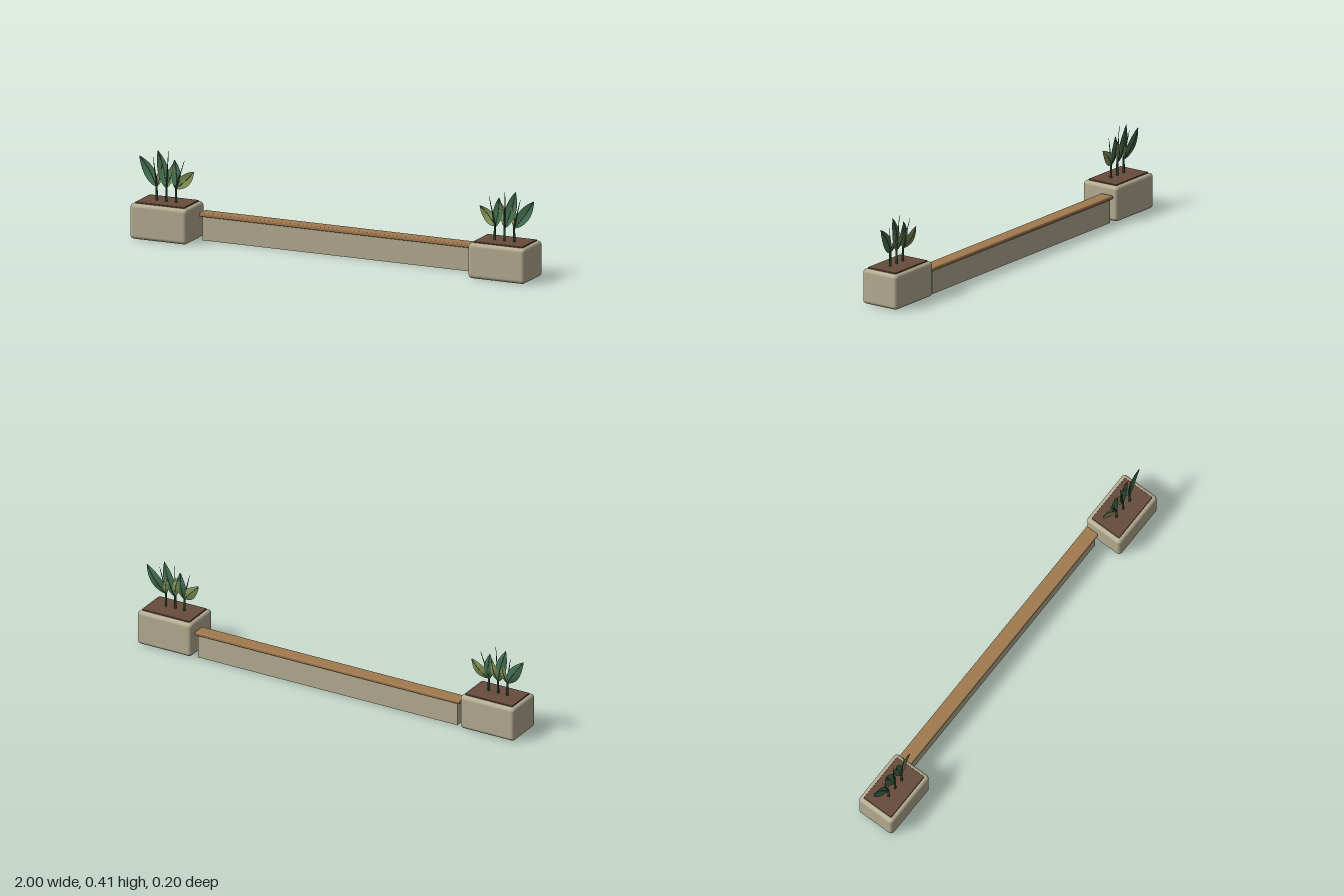
import * as THREE from 'three';
import { RoundedBoxGeometry } from 'three/addons/geometries/RoundedBoxGeometry.js';

const mat = (name, color, side = THREE.FrontSide) => {
  const m = new THREE.MeshStandardMaterial({ color, side });
  m.name = name;
  return m;
};

export function createModel() {
  const concrete = mat('concrete', 0xb8b095);
  const wood = mat('wood', 0xa27a50);
  const soilMat = mat('soil', 0x684c3a);
  const stemMat = mat('stem green', 0x2f4a36);
  const darkLeaf = mat('dark leaf green', 0x477355, THREE.DoubleSide);
  const paleLeaf = mat('olive leaf green', 0x87965a, THREE.DoubleSide);

  const root = new THREE.Group();
  root.name = 'planterBench';
  const add = (parent, name, geo, material, x = 0, y = 0, z = 0) => {
    const m = new THREE.Mesh(geo, material);
    m.name = name;
    m.position.set(x, y, z);
    parent.add(m);
    return m;
  };

  // Height of a leaf's midline in z: starts at the stem and bows backwards
  const bow = (t) => 0.004 - 0.012 * t - 0.013 * Math.sin(Math.PI * t);

  // Pointed leaf from base to tip, folded along its midrib
  function leaf(parent, base, tip, width, material) {
    const a = new THREE.Vector2(...base), d = new THREE.Vector2(...tip).sub(a);
    const n = new THREE.Vector2(d.y, -d.x).normalize();
    const geo = new THREE.PlaneGeometry(1, 1, 4, 12);
    const p = geo.attributes.position;
    for (let i = 0; i < p.count; i++) {
      const u = p.getX(i) * 2, t = p.getY(i) + 0.5;
      const w = u * width / 2 * Math.pow(Math.sin(Math.PI * Math.pow(t, 0.85)), 0.85) || 0;
      p.setXYZ(i, a.x + d.x * t + n.x * w, a.y + d.y * t + n.y * w, bow(t) + Math.abs(w) * 0.22);
    }
    geo.computeVertexNormals();
    add(parent, 'leaf', geo, material);
    const rib = new THREE.CatmullRomCurve3([0, 0.25, 0.5, 0.75, 0.97].map(
      (t) => new THREE.Vector3(a.x + d.x * t, a.y + d.y * t, bow(t))));
    add(parent, 'leafMidrib', new THREE.TubeGeometry(rib, 10, 0.0014, 5), stemMat);
  }

  // Low wall with a wooden seat plank
  add(root, 'benchWall', new THREE.BoxGeometry(1.375, 0.114, 0.05), concrete, 0, 0.057, -0.05);
  add(root, 'seatPlank', new RoundedBoxGeometry(1.405, 0.018, 0.067, 3, 0.006), wood, 0, 0.12, -0.05);

  // Mirrored planters; s points outwards
  for (const s of [-1, 1]) {
    const g = new THREE.Group();
    g.name = s > 0 ? 'leftPlanter' : 'rightPlanter';
    g.position.x = s * 0.856;
    root.add(g);
    add(g, 'planterBox', new RoundedBoxGeometry(0.288, 0.167, 0.196, 4, 0.018), concrete, 0, 0.0835);
    add(g, 'soil', new RoundedBoxGeometry(0.25, 0.012, 0.158, 2, 0.003), soilMat, 0, 0.167);

    // Stems, each with a slender upright shoot
    const shoots = [[0.049, 0.074, 0.37], [0, -0.004, 0.41], [-0.049, -0.085, 0.37]];
    for (const [x, tipX, tipY] of shoots) {
      add(g, 'stem', new THREE.CylinderGeometry(0.0045, 0.006, 0.085, 8), stemMat, s * x, 0.21, 0.006);
      const from = new THREE.Vector3(s * x, 0.245, 0.005);
      const to = new THREE.Vector3(s * tipX, tipY, -0.008);
      const dir = to.clone().sub(from);
      const shoot = add(g, 'shoot', new THREE.CylinderGeometry(0.0008, 0.004, dir.length(), 6), stemMat);
      shoot.position.copy(from).addScaledVector(dir, 0.5);
      shoot.quaternion.setFromUnitVectors(new THREE.Vector3(0, 1, 0), dir.normalize());
    }

    // Leaves fan outwards, with paler ones leaning to the bench
    leaf(g, [s * 0.049, 0.235], [s * 0.143, 0.37], 0.058, darkLeaf);
    leaf(g, [0, 0.23], [s * 0.05, 0.405], 0.056, darkLeaf);
    leaf(g, [s * -0.049, 0.23], [s * -0.034, 0.37], 0.048, darkLeaf);
    leaf(g, [0, 0.235], [s * -0.028, 0.35], 0.036, paleLeaf);
    leaf(g, [s * 0.049, 0.235], [s * 0.03, 0.34], 0.03, paleLeaf);
    leaf(g, [s * -0.049, 0.235], [s * -0.133, 0.322], 0.054, paleLeaf);
  }
  return root;
}
